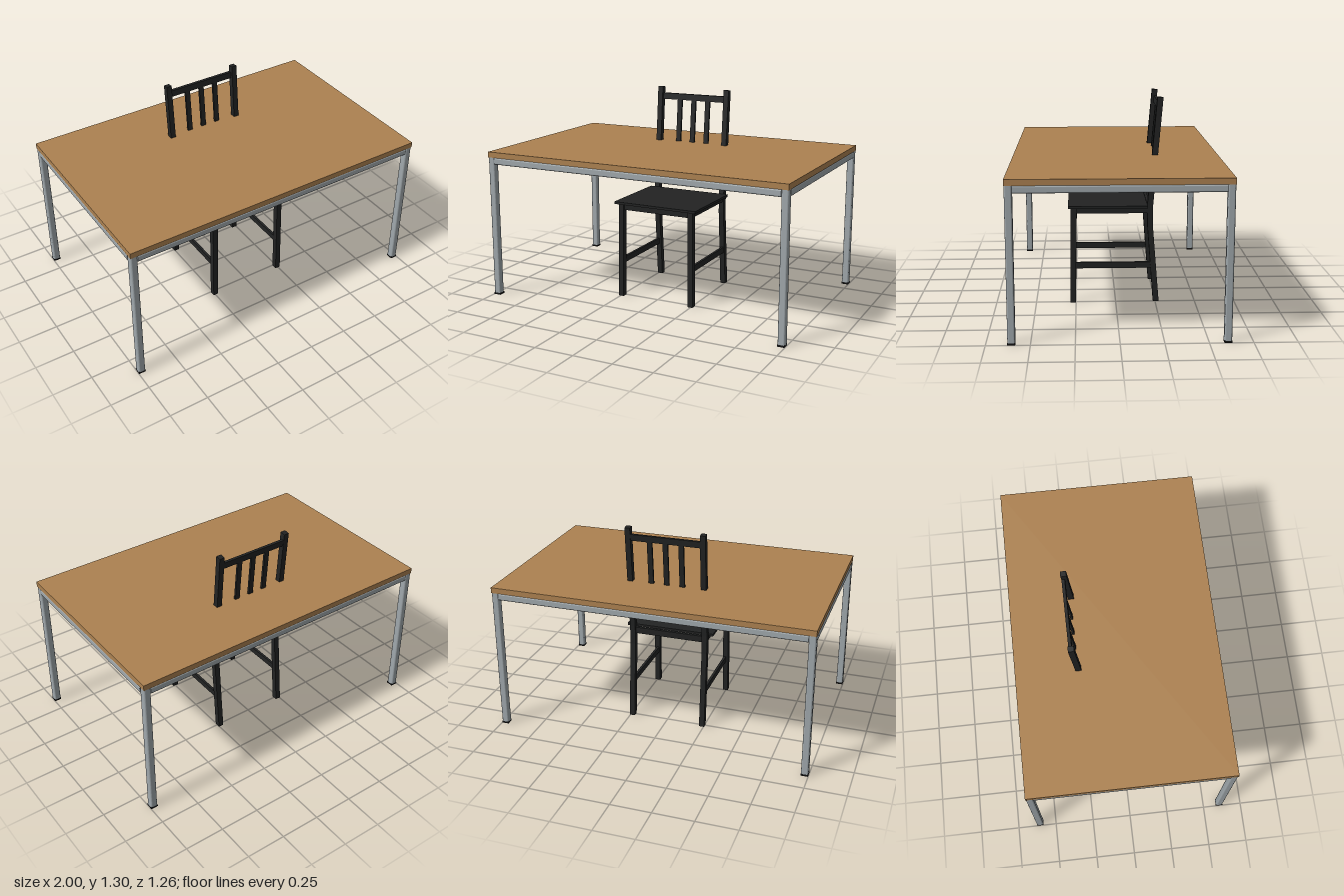
import * as THREE from 'three';

const mat = (name, color) => {
  const m = new THREE.MeshStandardMaterial({ color });
  m.name = name;
  return m;
};

export function createModel() {
  const wood = mat('oak wood', 0xad8251);
  const steel = mat('grey steel', 0xa0a8ac);
  const black = mat('black paint', 0x222323);
  const rubber = mat('black rubber', 0x121212);

  const add = (parent, name, geo, material, x = 0, y = 0, z = 0) => {
    const m = new THREE.Mesh(geo, material);
    m.name = name;
    m.position.set(x, y, z);
    parent.add(m);
    return m;
  };
  const box = (w, h, d) => new THREE.BoxGeometry(w, h, d);

  // Square tube with softened edges, centred, running along z
  const tube = (size, length, r = 0.01) => {
    const h = size / 2, c = h - r;
    const s = new THREE.Shape();
    s.absarc(c, c, r, 0, Math.PI / 2);
    s.absarc(-c, c, r, Math.PI / 2, Math.PI);
    s.absarc(-c, -c, r, Math.PI, Math.PI * 1.5);
    s.absarc(c, -c, r, Math.PI * 1.5, Math.PI * 2);
    return new THREE.ExtrudeGeometry(s, { depth: length, bevelEnabled: false, curveSegments: 5 })
      .translate(0, 0, -length / 2);
  };

  // Upright bar whose top is shifted sideways, keeping its ends level
  const leaning = (w, d, y0, y1, from, to) => {
    const g = box(w, y1 - y0, d).translate(0, (y0 + y1) / 2, 0);
    const p = g.attributes.position;
    for (let i = 0; i < p.count; i++) {
      const t = (p.getY(i) - y0) / (y1 - y0);
      p.setX(i, p.getX(i) + from[0] + (to[0] - from[0]) * t);
      p.setZ(i, p.getZ(i) + from[1] + (to[1] - from[1]) * t);
    }
    g.computeVertexNormals();
    return g;
  };

  const model = new THREE.Group();
  model.name = 'tableAndChair';

  // Table
  const table = new THREE.Group();
  table.name = 'table';
  model.add(table);
  add(table, 'tableTop', box(2, 0.035, 1.258), wood, 0, 0.9225, 0);
  const lx = 0.977, lz = 0.606, legW = 0.044;
  for (const sx of [-1, 1]) {
    for (const sz of [-1, 1]) {
      add(table, 'tableLeg', tube(legW, 0.893).rotateX(Math.PI / 2), steel, sx * lx, 0.4585, sz * lz);
      add(table, 'tableFoot', box(legW, 0.012, legW), rubber, sx * lx, 0.006, sz * lz);
    }
    add(table, 'sideRail', tube(legW, 2 * lz - legW), steel, sx * lx, 0.883, 0);
    add(table, 'longRail', tube(legW, 2 * lx - legW).rotateY(Math.PI / 2), steel, 0, 0.883, sx * lz);
  }

  // Chair
  const chair = new THREE.Group();
  chair.name = 'chair';
  model.add(chair);
  add(chair, 'seat', box(0.566, 0.015, 0.494), black, 0, 0.6175, 0.049);
  add(chair, 'frontApron', box(0.45, 0.04, 0.018), black, 0, 0.592, 0.262);
  add(chair, 'backApron', box(0.45, 0.04, 0.018), black, 0, 0.592, -0.212);

  // Bent back post, drawn from the side as (z, y)
  const post = new THREE.Shape([
    [-0.237, 0], [-0.198, 0.5], [-0.197, 0.62], [-0.255, 1.297],
    [-0.291, 1.293], [-0.233, 0.62], [-0.232, 0.5], [-0.273, 0],
  ].map(([z, y]) => new THREE.Vector2(z, y)));

  for (const s of [-1, 1]) {
    const postGeo = new THREE.ExtrudeGeometry(post, { depth: 0.034, bevelEnabled: false })
      .translate(0, 0, -0.017).rotateY(-Math.PI / 2);
    add(chair, 'backPost', postGeo, black, s * 0.237, 0, 0);
    add(chair, 'frontLeg', leaning(0.034, 0.036, 0, 0.61, [s * 0.246, 0.269], [s * 0.242, 0.261]), black);
    add(chair, 'sideApron', box(0.018, 0.04, 0.46), black, s * 0.238, 0.592, 0.025);
    add(chair, 'sideStretcher', box(0.016, 0.038, 0.484), black, s * 0.24, 0.238, 0.018);
  }

  // Backrest follows the lean of the posts
  const backZ = (y) => -0.222 - (y - 0.62) * 0.087;
  const backBar = (name, w, d, x, y0, y1) =>
    add(chair, name, leaning(w, d, y0, y1, [x, backZ(y0)], [x, backZ(y1)]), black);
  backBar('topRail', 0.46, 0.019, 0, 1.213, 1.253);
  backBar('lowerRail', 0.46, 0.019, 0, 0.795, 0.835);
  for (const x of [-0.1, 0, 0.1]) backBar('backSlat', 0.032, 0.014, x, 0.83, 1.216);

  return model;
}
